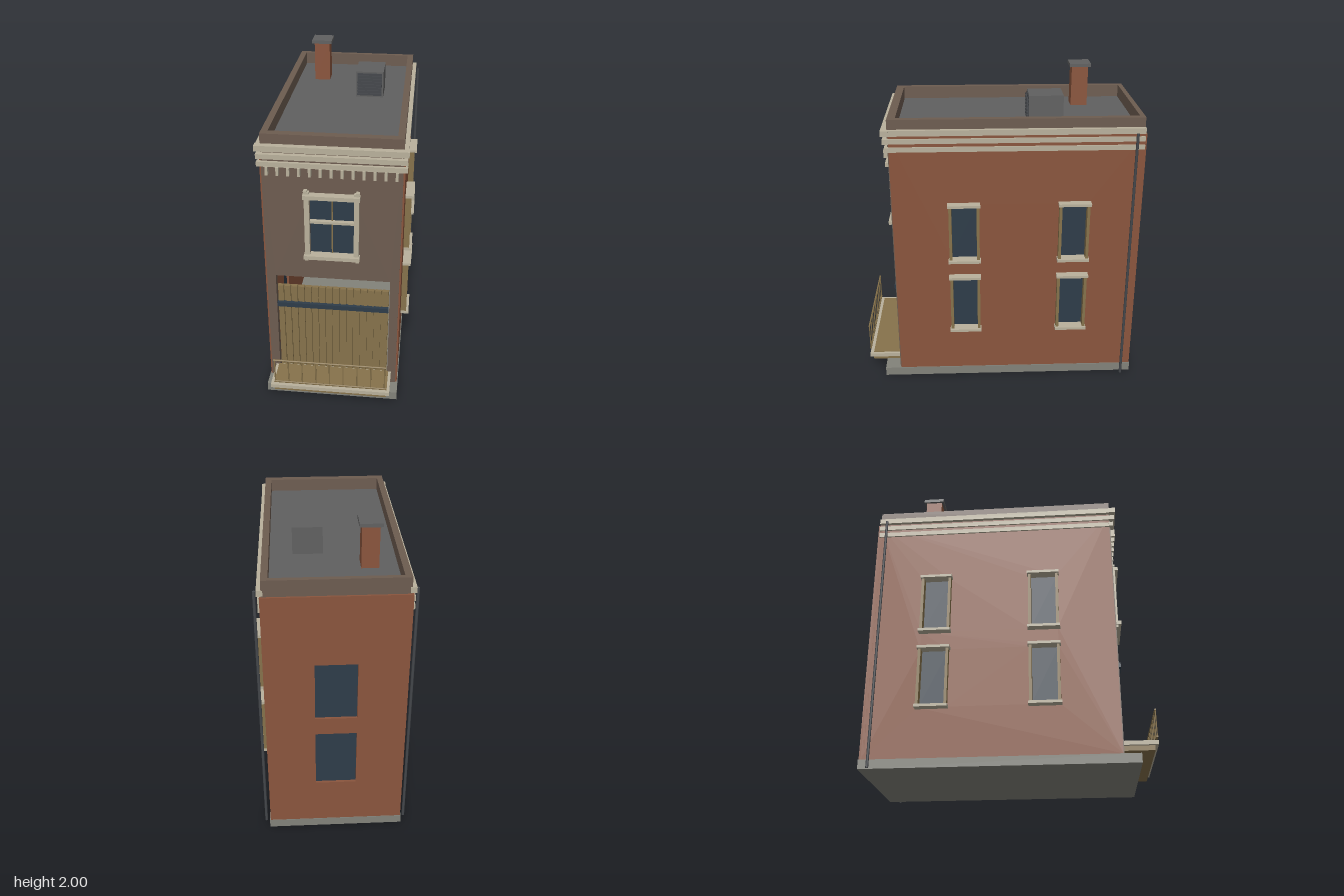
import * as THREE from 'three';

export function createModel() {
  const house = new THREE.Group();
  house.name = 'townhouse';
  const mat = (name, color, side = THREE.FrontSide) => {
    const m = new THREE.MeshStandardMaterial({ color, side });
    m.name = name;
    return m;
  };
  const brick = mat('brick', 0x8a553d, THREE.DoubleSide);
  const brown = mat('brownstone', 0x6d5c50);
  const trim = mat('trim', 0xb9b19c);
  const wood = mat('wood', 0x86724b);
  const glass = mat('glass', 0x2e3c49);
  const roofGrey = mat('roof', 0x606060);
  const stone = mat('stone', 0x82827a);
  const metal = mat('metal', 0x44474b);

  // Box from its min and max corners
  function box(name, m, x0, x1, y0, y1, z0, z1, parent = house) {
    const mesh = new THREE.Mesh(new THREE.BoxGeometry(x1 - x0, y1 - y0, z1 - z0), m);
    mesh.position.set((x0 + x1) / 2, (y0 + y1) / 2, (z0 + z1) / 2);
    mesh.name = name;
    parent.add(mesh);
    return mesh;
  }
  // Wall slab in the xy plane with rectangular holes [x0, x1, y0, y1]
  function wall(name, m, x0, x1, y0, y1, depth, holes) {
    const rect = (s, [a, b, c, d]) => s.moveTo(a, c).lineTo(b, c).lineTo(b, d).lineTo(a, d).closePath();
    const shape = rect(new THREE.Shape(), [x0, x1, y0, y1]);
    for (const h of holes) shape.holes.push(rect(new THREE.Path(), h));
    const mesh = new THREE.Mesh(new THREE.ExtrudeGeometry(shape, { depth, bevelEnabled: false }), m);
    mesh.name = name;
    house.add(mesh);
    return mesh;
  }
  function rod(name, m, r, len, x, y, z, parent = house) {
    const mesh = new THREE.Mesh(new THREE.CylinderGeometry(r, r, len, 10), m);
    mesh.position.set(x, y, z);
    mesh.name = name;
    parent.add(mesh);
    return mesh;
  }

  const floors = [[0.375, 0.755], [0.88, 1.255]];
  const columns = [0.23, -0.46];

  // Plinth and hollow shell
  box('plinth', stone, -0.425, 0.425, 0, 0.057, -0.885, 0.78);
  const sideHoles = [];
  for (const c of columns) for (const [a, b] of floors) sideHoles.push([-c - 0.088, -c + 0.088, a, b]);
  for (const s of [-1, 1]) {
    const w = wall('sideWall', brick, -0.675, 0.87, 0.057, 1.7, 0.04, sideHoles);
    w.rotation.y = Math.PI / 2;
    w.position.x = s > 0 ? 0.38 : -0.42;
  }
  const backHoles = floors.map(([a, b]) => [-0.125, 0.125, a - 0.01, b]);
  wall('backWall', brick, -0.42, 0.42, 0.057, 1.7, 0.03, backHoles).position.z = -0.882;
  for (const [a, b] of floors) box('backGlass', glass, -0.13, 0.13, a - 0.02, b + 0.01, -0.866, -0.858);

  // Front facade with door and window openings
  wall('facade', brown, -0.41, 0.41, 0.057, 1.72, 0.045,
    [[-0.355, 0.355, 0.06, 0.85], [-0.132, 0.132, 1.03, 1.42]]).position.z = 0.636;

  // Roof deck and parapet
  box('roofDeck', roofGrey, -0.38, 0.38, 1.68, 1.72, -0.85, 0.64);
  const parapet = wall('parapet', brown, -0.41, 0.41, -0.68, 0.87, 0.1, [[-0.37, 0.37, -0.63, 0.84]]);
  parapet.rotation.x = -Math.PI / 2;
  parapet.position.y = 1.7;

  // Cornice bands around the front and sides
  const bands = [[1.705, 1.74, 0.436, 0.718], [1.655, 1.685, 0.43, 0.71], [1.603, 1.633, 0.43, 0.7]];
  for (const [y0, y1, x, z] of bands) {
    box('corniceFront', trim, -x - 0.004, x + 0.004, y0, y1, 0.672, z);
    for (const s of [-1, 1]) box('corniceSide', trim, s > 0 ? 0.4 : -x, s > 0 ? x : -0.4, y0, y1, -0.872, 0.675);
  }
  for (let i = -6; i <= 6; i++) {
    const x = i * 0.0625;
    box('dentil', trim, x - 0.008, x + 0.008, 1.553, 1.605, 0.675, 0.71);
  }

  // Upper front window
  const win = new THREE.Group();
  win.name = 'frontWindow';
  house.add(win);
  box('pane', glass, -0.135, 0.135, 1.02, 1.43, 0.66, 0.668, win);
  box('mullion', wood, -0.004, 0.004, 1.03, 1.42, 0.668, 0.676, win);
  box('crossbar', trim, -0.132, 0.132, 1.242, 1.258, 0.668, 0.695, win);
  box('head', trim, -0.168, 0.168, 1.417, 1.442, 0.67, 0.73, win);
  box('sill', trim, -0.168, 0.168, 1.01, 1.034, 0.67, 0.73, win);
  for (const s of [-1, 1]) {
    box('stile', trim, s * 0.147 - 0.015, s * 0.147 + 0.015, 1.0, 1.455, 0.67, 0.71, win);
    for (const y of [0.99, 1.447]) box('cornerBlock', trim, s * 0.154 - 0.011, s * 0.154 + 0.011, y, y + 0.016, 0.67, 0.71, win);
  }

  // Side windows, mirrored on both walls
  for (const s of [-1, 1]) for (const c of columns) for (const [a, b] of floors) {
    const g = new THREE.Group();
    g.name = 'sideWindow';
    house.add(g);
    const part = (name, m, x0, x1, y0, y1, z0, z1) =>
      box(name, m, Math.min(s * x0, s * x1), Math.max(s * x0, s * x1), y0, y1, c + z0, c + z1, g);
    part('pane', glass, 0.396, 0.404, a, b, -0.088, 0.088);
    for (const t of [-1, 1]) part('stile', wood, 0.404, 0.457, a, b, t * 0.087 - 0.009, t * 0.087 + 0.009);
    part('sill', trim, 0.404, 0.473, a - 0.012, a + 0.005, -0.102, 0.102);
    part('lintel', trim, 0.404, 0.473, b - 0.005, b + 0.012, -0.102, 0.102);
  }

  // Plank door with a dark bar
  const door = new THREE.Group();
  door.name = 'plankDoor';
  house.add(door);
  box('doorBacking', wood, -0.35, 0.35, 0.06, 0.765, 0.645, 0.655, door);
  for (let i = 0; i < 16; i++) {
    const x = -0.35 + i * 0.04375;
    box('plank', wood, x + 0.005, x + 0.0388, 0.06, 0.77, 0.65, 0.675, door);
  }
  box('doorBar', glass, -0.35, 0.35, 0.625, 0.656, 0.67, 0.696, door);

  // Balcony with railing
  const balcony = new THREE.Group();
  balcony.name = 'balcony';
  house.add(balcony);
  box('platform', trim, -0.38, 0.38, 0.12, 0.145, 0.675, 0.885, balcony);
  box('deck', wood, -0.362, 0.362, 0.14, 0.148, 0.68, 0.862, balcony);
  box('support', wood, -0.36, 0.36, 0.09, 0.12, 0.675, 0.865, balcony);
  for (const y of [0.175, 0.343]) rod('rail', wood, 0.006, 0.71, 0, y, 0.882, balcony).rotation.z = Math.PI / 2;
  for (let i = -4; i <= 4; i++) rod('baluster', wood, 0.004, 0.17, i * 0.087, 0.259, 0.882, balcony);

  // Downpipes
  for (const s of [-1, 1]) rod('downpipe', metal, 0.009, 1.71, s * 0.45, 0.855, -0.82);

  // Chimney
  box('chimney', brick, -0.258, -0.155, 1.72, 1.98, -0.595, -0.488);
  box('chimneyCap', roofGrey, -0.274, -0.139, 1.978, 2.0, -0.61, -0.473);

  // Rooftop vent unit with louvres
  box('ventUnit', roofGrey, 0.055, 0.235, 1.72, 1.89, -0.393, -0.18);
  box('ventGrille', metal, 0.065, 0.225, 1.73, 1.88, -0.181, -0.176);
  for (let i = 0; i < 7; i++) {
    const y = 1.738 + i * 0.02;
    box('louvre', metal, 0.065, 0.225, y, y + 0.008, -0.178, -0.168);
  }
  return house;
}
